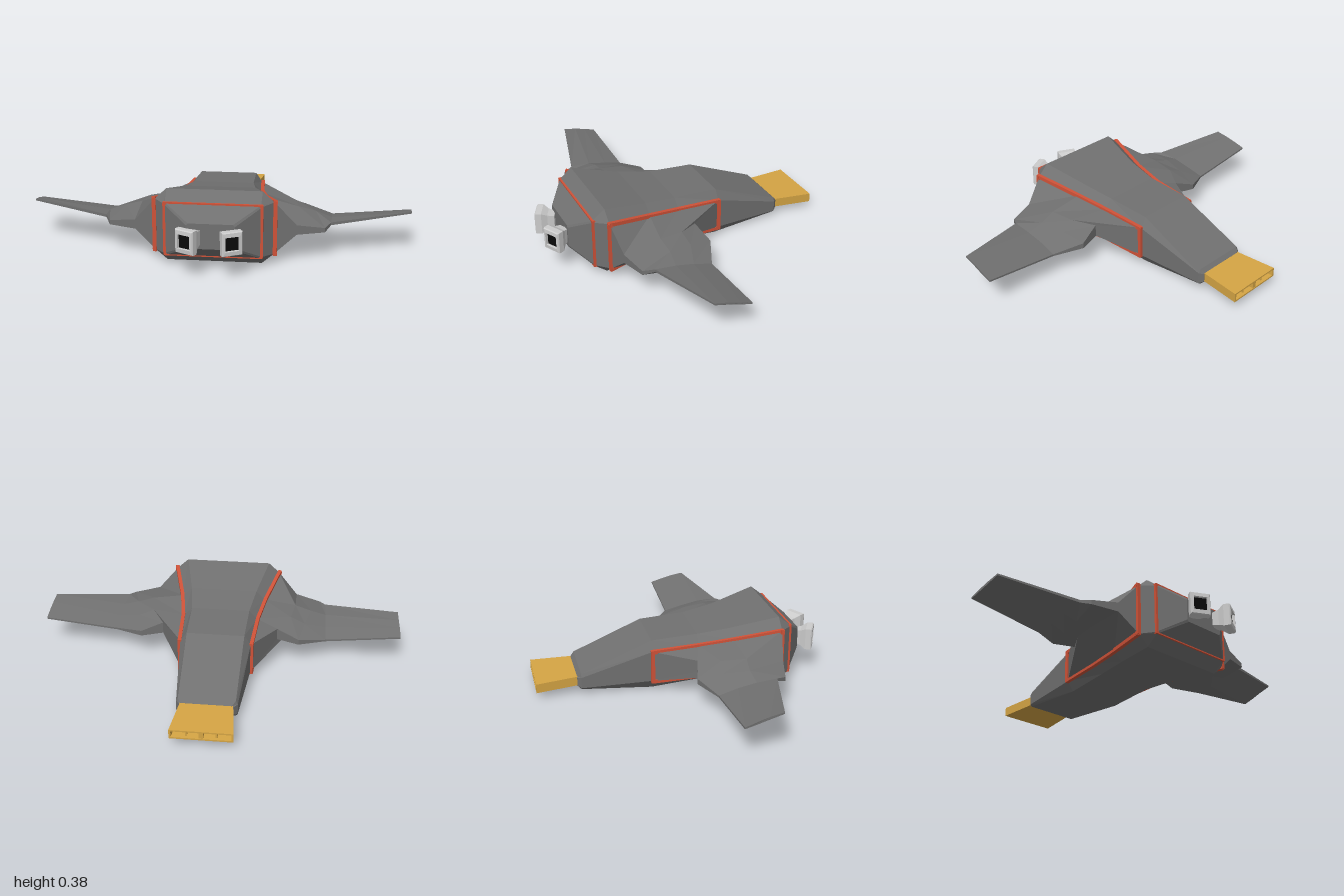
import * as THREE from 'three';

const paint = (color) => new THREE.MeshStandardMaterial({ color, flatShading: true });
const hull = paint(0x707070), trim = paint(0xcf5238), gold = paint(0xd4a444);
const pale = paint(0xcccccc), black = paint(0x0a0a0a);

// Skin through equal-length loops, each counter-clockwise about the direction of travel
function loft(loops, capStart = true, capEnd = true) {
  const pos = [];
  const tri = (...pts) => pts.forEach((p) => pos.push(p[0], p[1], p[2]));
  const n = loops[0].length;
  for (let s = 0; s < loops.length - 1; s++) {
    const a = loops[s], b = loops[s + 1];
    for (let i = 0; i < n; i++) {
      const j = (i + 1) % n;
      tri(a[i], a[j], b[j]);
      tri(a[i], b[j], b[i]);
    }
  }
  const first = loops[0], last = loops[loops.length - 1];
  for (let i = 1; i < n - 1; i++) {
    if (capStart) tri(first[0], first[i + 1], first[i]);
    if (capEnd) tri(last[0], last[i], last[i + 1]);
  }
  const g = new THREE.BufferGeometry();
  g.setAttribute('position', new THREE.Float32BufferAttribute(pos, 3));
  g.computeVertexNormals();
  return g;
}

function add(parent, name, geometry, material) {
  const m = new THREE.Mesh(geometry, material);
  m.name = name;
  parent.add(m);
  return m;
}

const rect = (hw, y0, y1, z) => [[-hw, y0, z], [hw, y0, z], [hw, y1, z], [-hw, y1, z]];

// Square bars joining a closed ring of points
function frame(parent, name, points, size) {
  const group = new THREE.Group();
  group.name = name;
  points.forEach((p, i) => {
    const a = new THREE.Vector3(...p);
    const b = new THREE.Vector3(...points[(i + 1) % points.length]);
    const bar = add(group, 'bar', new THREE.BoxGeometry(size, size, a.distanceTo(b) + size * 0.7), trim);
    bar.position.copy(a).add(b).multiplyScalar(0.5);
    bar.lookAt(b);
  });
  parent.add(group);
}

// Body stations: z, outer half width, flat half width, bottom, lower edge, upper edge, top
const STATIONS = [
  [-0.57, 0.14, 0.13, 0.045, 0.05, 0.095, 0.1],
  [-0.55, 0.158, 0.148, 0.03, 0.04, 0.1, 0.12],
  [-0.17, 0.19, 0.155, 0.003, 0.055, 0.225, 0.277],
  [0.08, 0.205, 0.16, 0.025, 0.068, 0.245, 0.292],
  [0.26, 0.235, 0.185, 0.025, 0.068, 0.272, 0.32],
  [0.51, 0.3, 0.24, 0.003, 0.055, 0.325, 0.38],
  [0.575, 0.245, 0.238, 0.052, 0.06, 0.32, 0.328],
  [0.67, 0.12, 0.11, 0.125, 0.135, 0.245, 0.255],
];

// Wing sections from root to tip; each lists x, z, top, bottom from trailing to leading edge
const WING = [
  STATIONS.slice(2, 6).map(([z, w, , , lo, hi]) => [w, z, hi, lo]),
  [[0.32, 0.04, 0.21, 0.145], [0.39, 0.15, 0.228, 0.14], [0.41, 0.28, 0.235, 0.14], [0.41, 0.482, 0.2, 0.15]],
  [[0.44, 0.01, 0.165, 0.135], [0.47, 0.14, 0.195, 0.135], [0.5, 0.27, 0.21, 0.145], [0.55, 0.445, 0.178, 0.155]],
  [[0.59, 0.08, 0.135, 0.125], [0.585, 0.18, 0.162, 0.138], [0.585, 0.28, 0.182, 0.155], [0.58, 0.39, 0.19, 0.175]],
  [[1, 0.085, 0.175, 0.166], [0.997, 0.15, 0.195, 0.182], [0.993, 0.21, 0.212, 0.199], [0.99, 0.28, 0.225, 0.216]],
];

function wingGeometry(side) {
  return loft(WING.map((s) => {
    const loop = [
      ...s.map(([x, z, t]) => [side * x, t, z]),
      ...[...s].reverse().map(([x, z, , b]) => [side * x, b, z]),
    ];
    return side > 0 ? loop : loop.reverse();
  }), false);
}

export function createModel() {
  const model = new THREE.Group();
  model.name = 'flyingCraft';

  // Bevelled body
  add(model, 'body', loft(STATIONS.map(([z, w, f, y0, lo, hi, y1]) => [
    [-f, y0, z], [f, y0, z], [w, lo, z], [w, hi, z],
    [f, y1, z], [-f, y1, z], [-w, hi, z], [-w, lo, z],
  ])), hull);

  // Band around the front
  frame(model, 'frontBand', rect(0.24, 0.06, 0.322, 0.573), 0.018);

  for (const side of [1, -1]) {
    const label = side > 0 ? 'left' : 'right';
    add(model, label + 'Wing', wingGeometry(side), hull);

    // Frame around the wing root
    const edge = STATIONS.slice(2, 6);
    frame(model, label + 'WingFrame', [
      ...edge.map(([z, w, , , , hi]) => [side * (w + 0.004), hi, z]),
      ...edge.reverse().map(([z, w, , , lo]) => [side * (w + 0.004), lo, z]),
    ], 0.02);

    // Splayed eye with a bevelled rim and dark window
    const eye = new THREE.Group();
    eye.name = label + 'Eye';
    eye.position.set(side * 0.118, 0.19, 0.761);
    eye.rotation.y = side * 0.47;
    const ring = (hw, hh, z) => rect(hw, -hh, hh, z);
    add(eye, 'eyeHousing', loft([
      ring(0.028, 0.035, -0.1), ring(0.036, 0.043, -0.065), ring(0.052, 0.06, -0.035), ring(0.052, 0.06, -0.006),
    ], true, false), pale);
    add(eye, 'eyeRim', loft([
      ring(0.052, 0.06, -0.006), ring(0.048, 0.056, 0), ring(0.036, 0.036, 0.002), ring(0.035, 0.035, -0.015),
    ], false, false), pale);
    const pane = add(eye, 'eyeWindow', new THREE.PlaneGeometry(0.072, 0.072), black);
    pane.position.z = -0.012;
    model.add(eye);
  }

  // Flared tail nozzle, hollow at the back
  add(model, 'tailNozzle', loft([
    rect(0.13, 0.057, 0.091, -0.62), rect(0.15, 0.048, 0.082, -0.79),
    rect(0.16, 0.04, 0.09, -0.79), rect(0.136, 0.05, 0.1, -0.565),
  ]), gold);

  // Dividers inside the nozzle
  for (const [x, w] of [[0, 0.022], [-0.075, 0.008], [0.075, 0.008]]) {
    const rib = add(model, 'nozzleDivider', new THREE.BoxGeometry(w, 0.038, 0.15), gold);
    rib.position.set(x, 0.068, x === 0 ? -0.713 : -0.7);
  }
  return model;
}
